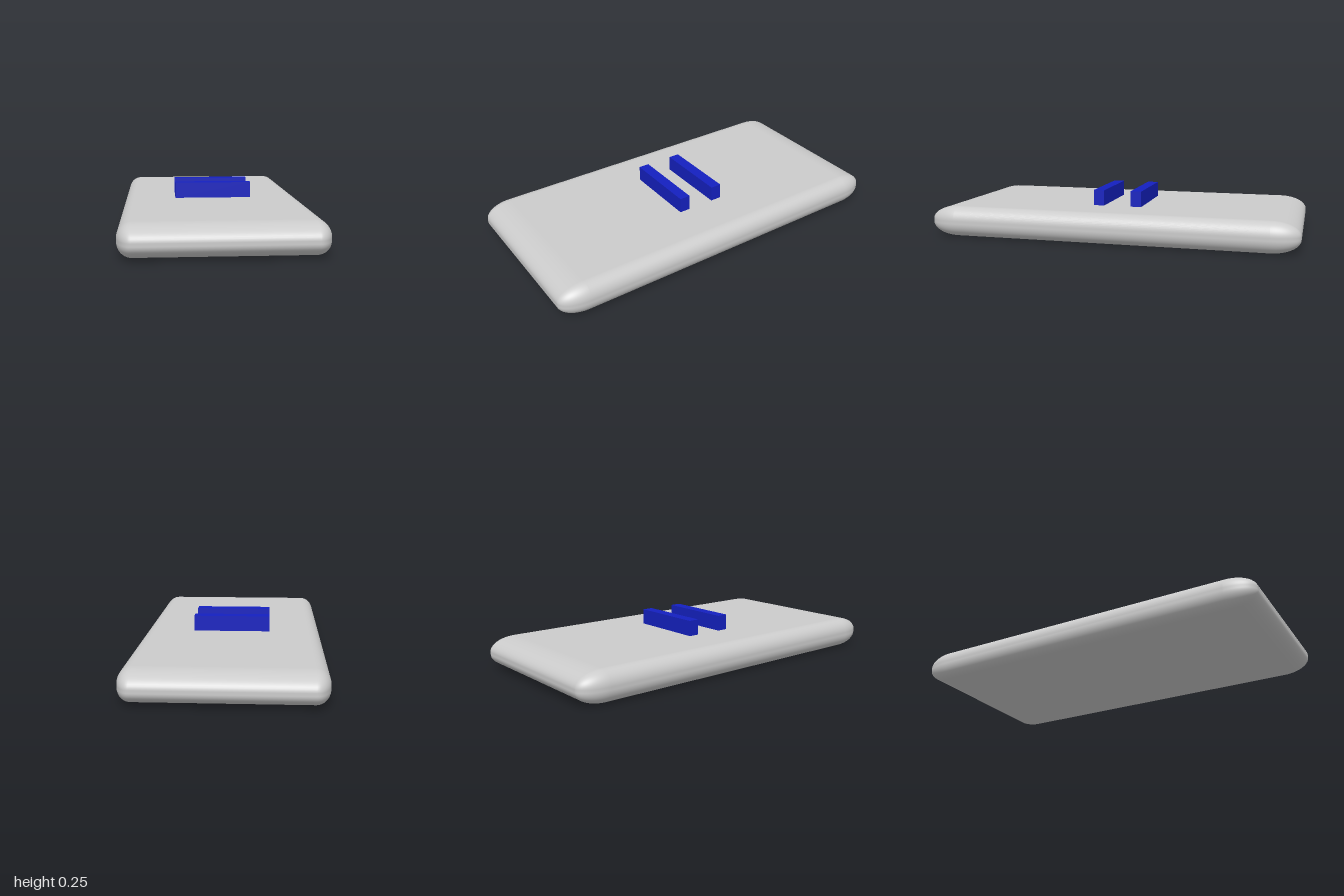
import * as THREE from 'three';
import { RoundedBoxGeometry } from 'three/addons/geometries/RoundedBoxGeometry.js';

export function createModel() {
  const model = new THREE.Group();
  model.name = 'model';
  const grey = new THREE.MeshStandardMaterial({ color: 0xcccccc });
  const blue = new THREE.MeshStandardMaterial({ color: 0x1420c0 });

  // Rounded slab, stretched along z so its end edges are softer
  const thickness = 0.165;
  const slabGeometry = new RoundedBoxGeometry(1, thickness, 1, 8, 0.075);
  slabGeometry.scale(1, 1, 2);
  const slab = new THREE.Mesh(slabGeometry, grey);
  slab.name = 'slab';
  slab.position.y = thickness / 2;
  model.add(slab);

  // Two parallel bars standing across the top
  const barHeight = 0.085;
  const barGeometry = new THREE.BoxGeometry(0.42, barHeight, 0.06);
  for (const side of [1, -1]) {
    const bar = new THREE.Mesh(barGeometry, blue);
    bar.name = side > 0 ? 'frontBar' : 'backBar';
    bar.position.set(0, thickness + barHeight / 2, side * 0.105);
    model.add(bar);
  }
  return model;
}
